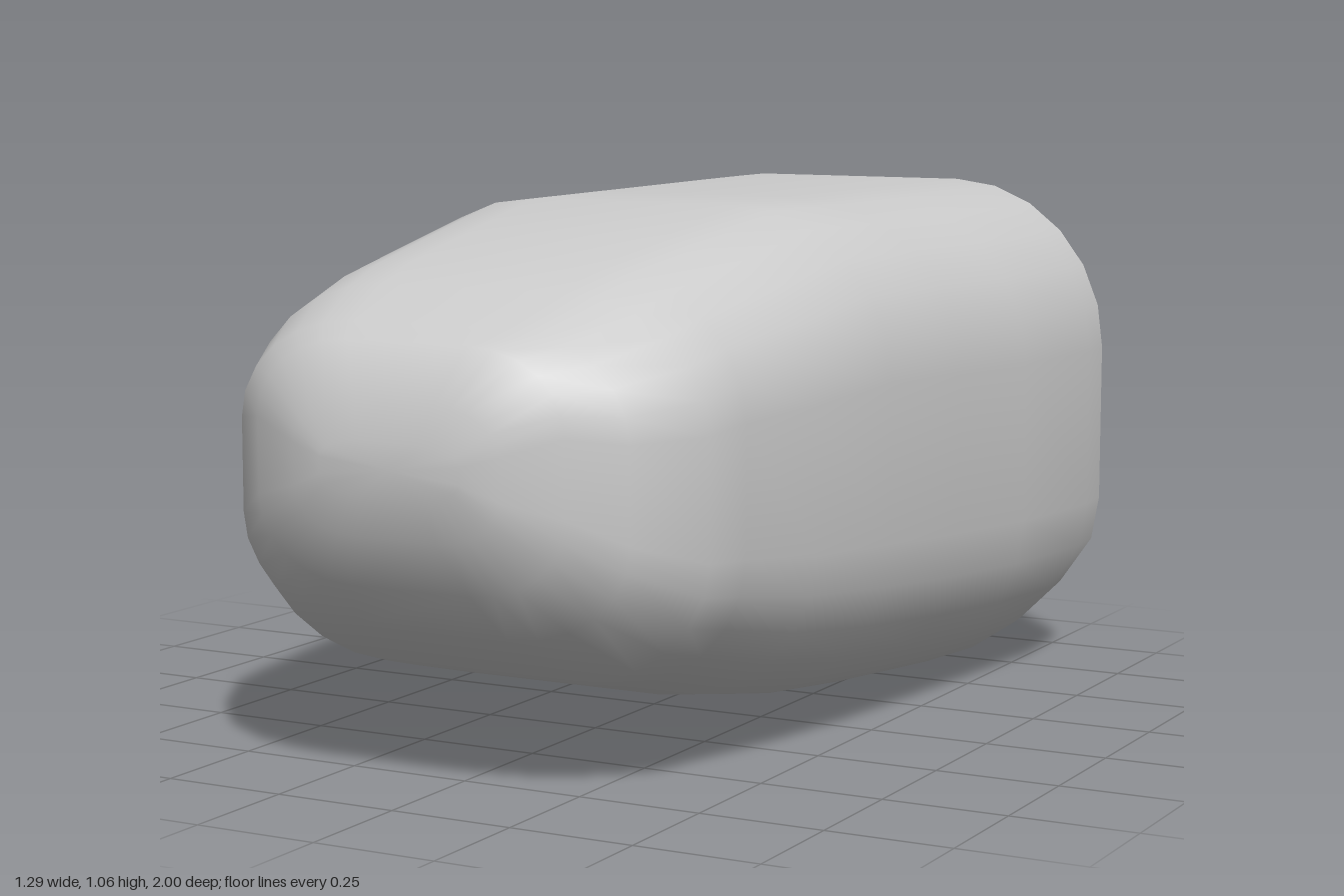
import * as THREE from 'three';
import { toCreasedNormals } from 'three/addons/utils/BufferGeometryUtils.js';

// Stations from nose to tail: z, half width, bottom, top
const STATIONS = [
  [1, 0.15, 0.58, 0.68],
  [0.98, 0.22, 0.5, 0.75],
  [0.935, 0.33, 0.4, 0.855],
  [0.86, 0.42, 0.31, 0.88],
  [0.71, 0.5, 0.21, 0.935],
  [0.6, 0.517, 0.18, 0.97],
  [0.37, 0.55, 0.12, 1.013],
  [0.1, 0.582, 0.07, 1.063],
  [-0.2, 0.602, 0.037, 1.063],
  [-0.5, 0.622, 0.012, 1.063],
  [-0.88, 0.645, 0.005, 1.063],
  [-1, 0.635, 0.005, 1.063],
];
const CORNER = 6; // segments per rounded corner

// Rounded-rectangle outline, counter-clockwise seen from the front
function outline(halfWidth, bottom, top) {
  const cy = (bottom + top) / 2, hh = (top - bottom) / 2;
  const points = [];
  for (let q = 0; q < 4; q++) {
    const sx = q === 0 || q === 3 ? 1 : -1, sy = q < 2 ? 1 : -1;
    for (let k = 0; k <= CORNER; k++) {
      const a = (q + k / CORNER) * Math.PI / 2;
      points.push([
        halfWidth * (0.39 * sx + 0.61 * Math.cos(a)),
        cy + hh * (0.32 * sy + 0.68 * Math.sin(a)),
      ]);
    }
  }
  return points;
}

// Tail surface: leans forward going down, swept at the sides, chamfered underneath
function tailZ(x, y) {
  const lean = -1 + (1.063 - y) * 0.1;
  const sweep = -1 + Math.max(0, Math.abs(x) - 0.26) * 0.21;
  const chamfer = -0.92 + (0.28 - y);
  return Math.max(lean, sweep, chamfer);
}

function bodyGeometry() {
  const rings = [];

  // Nose cap centre
  const [z0, , b0, t0] = STATIONS[0];
  rings.push(outline(0, (b0 + t0) / 2, (b0 + t0) / 2).map(([x, y]) => [x, y, z0]));

  // Body, with the rear stations stretched to meet the tail surface
  for (const [z, w, b, t] of STATIONS) {
    rings.push(outline(w, b, t).map(([x, y]) => {
      const f = Math.max(0, (-0.5 - z) / 0.5);
      return [x, y, f > 0 ? -0.5 + f * (tailZ(x, y) + 0.5) : z];
    }));
  }

  // Tail cap: shrinking outlines lying on the tail surface
  const [, w, b, t] = STATIONS[STATIONS.length - 1];
  const cy = (b + t) / 2, hh = (t - b) / 2;
  for (let s = 9; s >= 0; s--) {
    const k = s / 10;
    rings.push(outline(w * k, cy - hh * k, cy + hh * k).map(([x, y]) => [x, y, tailZ(x, y)]));
  }
  const last = rings.length - 1;
  rings[last] = rings[last].map(() => [0, cy, tailZ(0, cy)]);

  const n = rings[0].length;
  const index = [];
  for (let i = 0; i < last; i++) {
    for (let j = 0; j < n; j++) {
      const j2 = (j + 1) % n;
      const a = i * n + j, b1 = i * n + j2, c = a + n, d = b1 + n;
      if (i > 0) index.push(a, c, b1);
      if (i < last - 1) index.push(b1, c, d);
      else continue;
    }
  }
  const geometry = new THREE.BufferGeometry();
  geometry.setAttribute('position', new THREE.Float32BufferAttribute(rings.flat(2), 3));
  geometry.setIndex(index);
  return toCreasedNormals(geometry, THREE.MathUtils.degToRad(50));
}

export function createModel() {
  const group = new THREE.Group();
  group.name = 'pod';
  const body = new THREE.Mesh(bodyGeometry(), new THREE.MeshStandardMaterial({ color: 0xcccccc }));
  body.name = 'podBody';
  group.add(body);
  return group;
}
